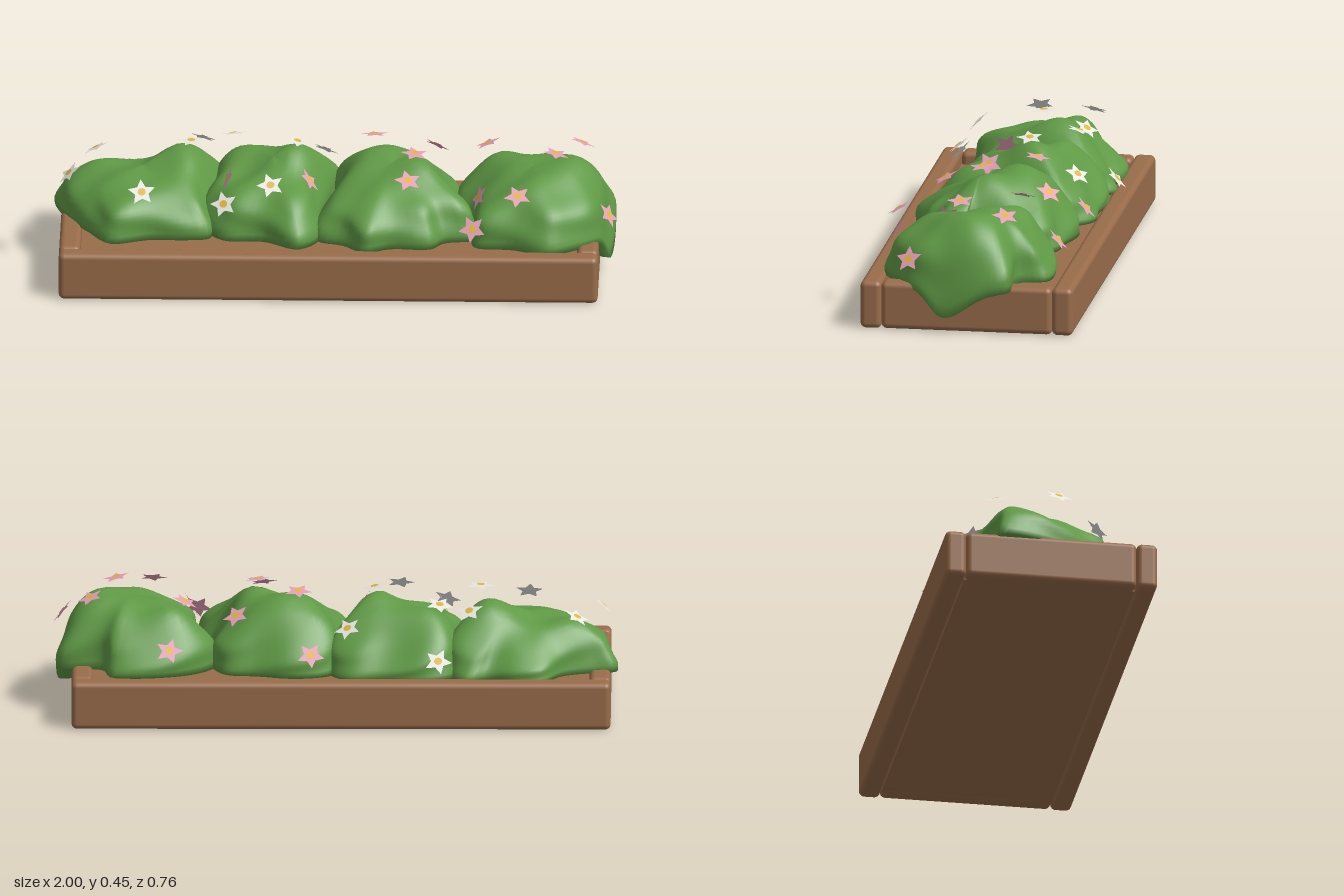
import * as THREE from 'three';
import { RoundedBoxGeometry } from 'three/addons/geometries/RoundedBoxGeometry.js';

const mat = (name, color, side = THREE.FrontSide) => {
  const m = new THREE.MeshStandardMaterial({ color, side });
  m.name = name;
  return m;
};

// Footprints of the four bushes as [x, z], clockwise from above
const BUSHES = [
  { c: [-0.69, -0.05], rim: [[-1, -0.18], [-0.92, -0.2], [-0.81, -0.24], [-0.74, -0.32], [-0.64, -0.32], [-0.55, -0.29],
    [-0.47, -0.32], [-0.40, -0.24], [-0.42, -0.08], [-0.45, 0.05], [-0.45, 0.18], [-0.53, 0.2], [-0.66, 0.2],
    [-0.8, 0.24], [-0.88, 0.13], [-0.93, 0.05], [-0.98, -0.05]] },
  { c: [-0.23, -0.04], rim: [[-0.48, 0.07], [-0.44, -0.08], [-0.44, -0.19], [-0.42, -0.28], [-0.33, -0.32], [-0.18, -0.3],
    [-0.05, -0.3], [0.02, -0.21], [-0.02, -0.1], [-0.06, 0.05], [-0.07, 0.21], [-0.14, 0.28], [-0.26, 0.21], [-0.4, 0.2]] },
  { c: [0.19, 0.02], rim: [[-0.02, -0.19], [0.02, -0.25], [0.14, -0.28], [0.27, -0.25], [0.38, -0.23], [0.43, -0.13],
    [0.41, 0], [0.43, 0.08], [0.49, 0.1], [0.49, 0.18], [0.38, 0.21], [0.33, 0.27], [0.19, 0.27], [0.1, 0.31],
    [0.02, 0.24], [-0.07, 0.2], [-0.06, 0.08], [-0.01, -0.05]] },
  { c: [0.69, 0.02], rim: [[0.42, -0.05], [0.43, -0.16], [0.54, -0.25], [0.78, -0.27], [0.82, -0.17], [0.96, -0.15],
    [0.98, -0.05], [0.965, 0.08], [0.92, 0.2], [0.84, 0.27], [0.75, 0.32], [0.62, 0.27], [0.49, 0.25], [0.47, 0.11]] },
];

// Foliage mounds: x, z, extra height, radius
const MOUNDS = [[-0.53, -0.08, 0.085, 0.13], [-0.85, -0.15, 0.015, 0.1], [-0.15, -0.08, 0.095, 0.12], [-0.37, -0.2, 0.065, 0.12],
  [0.14, -0.1, 0.09, 0.15], [0.3, 0.04, 0.07, 0.12], [0.82, 0, 0.09, 0.19], [0.57, -0.14, 0.06, 0.12], [0.64, 0.22, 0.03, 0.1],
  [0.45, 0, -0.03, 0.1], [-0.27, 0.12, 0.025, 0.1]];

// Crown height, falling away towards the back
const foliageTop = (x, z) => MOUNDS.reduce(
  (h, [mx, mz, a, r]) => h + a * Math.exp(-((x - mx) ** 2 + (z - mz) ** 2) / (r * r)),
  0.325 + 0.01 * Math.sin(x * 23 + z * 9) * Math.cos(z * 21) - 0.5 * Math.max(0, -z - 0.17));

// Lower edge, spilling over the +x end board
const foliageBase = (x, z) => {
  const spill = Math.exp(-(((z - 0.08) / (z > 0.08 ? 0.07 : 0.12)) ** 2));
  return 0.16 - 0.1 * spill * THREE.MathUtils.clamp((x - 0.82) / 0.1, 0, 1);
};

// Bush: rings that shrink from the footprint to the crown, growing rounder on the way
function bushGeometry({ c, rim }) {
  const N = 72, RINGS = 20;
  const curve = new THREE.CatmullRomCurve3(rim.map(([x, z]) => new THREE.Vector3(x, 0, z)), true);
  const pos = [], idx = [];
  for (let j = 0; j <= RINGS; j++) {
    const t = (j - 2) / (RINGS - 2) * Math.PI / 2;
    const s = j === 0 ? 0.02 : j === 1 ? 0.9 : j === RINGS ? 0.001 : Math.cos(t) ** 0.6;
    const f = j < 2 ? 0 : Math.sin(t) ** 0.8;
    for (let i = 0; i < N; i++) {
      const p = curve.getPoint(i / N);
      const lump = 1 + 0.035 * Math.sin(f * 6 + p.x * 15 + p.z * 11) * Math.sin(f * Math.PI);
      const dx = p.x - c[0], dz = p.z - c[1], r = Math.hypot(dx, dz);
      const k = s * lump * THREE.MathUtils.lerp(1, 0.27 / r, 0.6 * (1 - s));
      const x = c[0] + dx * k, z = c[1] + dz * k;
      const base = foliageBase(p.x, p.z);
      pos.push(x, j === 0 ? 0.1 : base + f * (foliageTop(x, z) - base), z);
      if (j < RINGS) {
        const a = j * N + i, b = j * N + (i + 1) % N;
        idx.push(a, a + N, b, b, a + N, b + N);
      }
    }
  }
  const g = new THREE.BufferGeometry();
  g.setAttribute('position', new THREE.Float32BufferAttribute(pos, 3));
  g.setIndex(idx);
  g.computeVertexNormals();
  return g;
}

// Flowers: x, y, z, then sideways and forward tilt
const WHITE = [[-0.86, 0.36, -0.18, -0.5, -0.2], [-0.95, 0.345, 0.03, -0.9, 0.2], [-0.69, 0.345, 0.21, 0, 1],
  [-0.48, 0.39, -0.21, 0.3, -0.6], [-0.52, 0.44, -0.05, 0, 0], [-0.37, 0.24, -0.335, 0, -1.1], [-0.375, 0.41, -0.2, -0.1, -0.3],
  [-0.4, 0.31, 0.23, -0.4, 1.2], [-0.235, 0.375, 0.21, 0, 0.8], [-0.145, 0.437, -0.06, 0.25, 0], [-0.05, 0.335, -0.245, 0.4, -0.6]];
const PINK = [[-0.1, 0.345, 0.08, 1.2, 0.2], [-0.39, 0.34, 0.06, -2.2, 0.2], [0.08, 0.25, -0.295, 0, -1.1],
  [0.125, 0.44, -0.13, 0, -0.2], [0.27, 0.435, 0.045, 0.1, 0.1], [0.25, 0.385, 0.18, 0.1, 0.5], [0.345, 0.37, -0.205, 0.5, -0.6],
  [0.525, 0.405, -0.14, -0.4, -0.1], [0.58, 0.26, -0.275, 0, -1.1], [0.77, 0.44, 0.045, 0.25, 0], [0.86, 0.415, -0.13, 0.4, -0.2],
  [0.64, 0.37, 0.285, 0, 0.6], [0.48, 0.255, 0.31, -0.3, 1.8], [0.5, 0.31, 0.14, -1.8, 0.5], [0.96, 0.27, 0.2, 1.4, 0.5]];

export function createModel() {
  const model = new THREE.Group();
  model.name = 'flowerPlanter';
  const wood = mat('wood', 0x996c4a), leaf = mat('foliage', 0x609a46);
  const white = mat('whitePetal', 0xf2f2ee, THREE.DoubleSide), pink = mat('pinkPetal', 0xe69fb8, THREE.DoubleSide);
  const yellow = mat('flowerCentre', 0xe0b53c, THREE.DoubleSide);

  const add = (name, geo, material, x = 0, y = 0, z = 0, parent = model) => {
    const m = new THREE.Mesh(geo, material);
    m.name = name;
    m.position.set(x, y, z);
    parent.add(m);
    return m;
  };

  // Planter boards and inner bed
  const mid = -0.0275;
  for (const s of [-1, 1]) {
    add(s > 0 ? 'frontBoard' : 'backBoard', new RoundedBoxGeometry(1.905, 0.172, 0.075, 4, 0.02), wood, mid, 0.086, s * 0.3425);
    add(s > 0 ? 'leftEndBoard' : 'rightEndBoard', new RoundedBoxGeometry(0.075, 0.17, 0.61, 4, 0.02), wood, mid + s * 0.915, 0.086, 0);
  }
  add('bed', new THREE.BoxGeometry(1.8, 0.12, 0.61), wood, mid, 0.065, 0);

  BUSHES.forEach((b) => add('bush', bushGeometry(b), leaf));

  // Five-pointed flowers with round centres
  const star = new THREE.Shape(Array.from({ length: 10 }, (_, i) => {
    const r = i % 2 ? 0.025 : 0.05, a = -i * Math.PI / 5;
    return new THREE.Vector2(r * Math.sin(a), r * Math.cos(a));
  }));
  const petals = new THREE.ShapeGeometry(star), centre = new THREE.CircleGeometry(0.0145, 10);
  const up = new THREE.Vector3(0, 0, 1);
  for (const [list, material, label] of [[WHITE, white, 'whiteFlower'], [PINK, pink, 'pinkFlower']]) {
    list.forEach(([x, y, z, nx, nz], i) => {
      const flower = new THREE.Group();
      flower.name = label;
      flower.position.set(x, y, z);
      flower.quaternion.setFromUnitVectors(up, new THREE.Vector3(nx, 1, nz).normalize());
      flower.rotateZ(i * 1.3);
      add('petals', petals, material, 0, 0, 0, flower);
      add('centre', centre, yellow, 0, 0, 0.004, flower);
      model.add(flower);
    });
  }
  return model;
}
